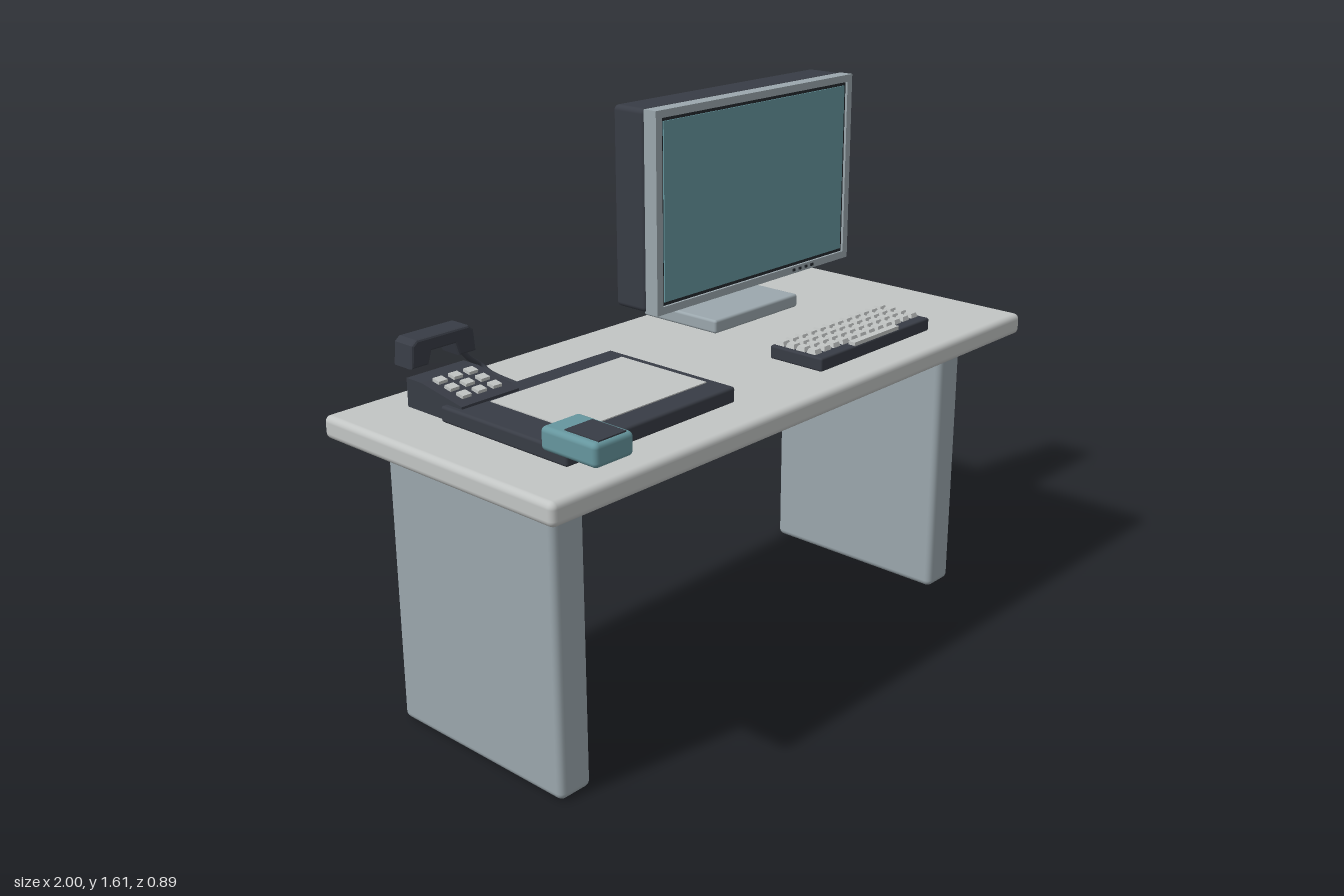
import * as THREE from 'three';
import { RoundedBoxGeometry } from 'three/addons/geometries/RoundedBoxGeometry.js';

const mat = (name, color) => {
  const m = new THREE.MeshStandardMaterial({ color });
  m.name = name;
  return m;
};

export function createModel() {
  const light = mat('light grey', 0xc2c5c4);
  const steel = mat('blue grey', 0x9ba7ad);
  const dark = mat('charcoal', 0x383c45);
  const black = mat('near black', 0x24282e);
  const teal = mat('teal', 0x66969e);

  const model = new THREE.Group();
  model.name = 'officeDesk';
  const group = (name) => {
    const g = new THREE.Group();
    g.name = name;
    model.add(g);
    return g;
  };
  const add = (parent, name, geometry, material) => {
    const mesh = new THREE.Mesh(geometry, material);
    mesh.name = name;
    parent.add(mesh);
    return mesh;
  };
  // Box given by its limits on each axis; r > 0 rounds the edges
  const box = (parent, name, material, [x0, x1], [y0, y1], [z0, z1], r = 0) => {
    const s = [x1 - x0, y1 - y0, z1 - z0];
    const geo = r ? new RoundedBoxGeometry(...s, 3, r) : new THREE.BoxGeometry(...s);
    const mesh = add(parent, name, geo, material);
    mesh.position.set((x0 + x1) / 2, (y0 + y1) / 2, (z0 + z1) / 2);
    return mesh;
  };
  const cable = (parent, name, points, r = 0.007) => {
    const curve = new THREE.CatmullRomCurve3(points.map((p) => new THREE.Vector3(...p)));
    return add(parent, name, new THREE.TubeGeometry(curve, 24, r, 8), dark);
  };
  const rect = (path, x0, x1, y0, y1) =>
    path.moveTo(x0, y0).lineTo(x1, y0).lineTo(x1, y1).lineTo(x0, y1).closePath();

  // Desk
  const desk = group('desk');
  box(desk, 'tabletop', light, [-1, 1], [0.845, 0.91], [-0.425, 0.445], 0.018);
  for (const [name, x] of [['rightLeg', -0.825], ['leftLeg', 0.82]])
    box(desk, name, steel, [x - 0.055, x + 0.055], [0, 0.848], [-0.325, 0.312], 0.02);
  box(desk, 'underDeskUnit', dark, [0.1, 0.695], [0.745, 0.846], [-0.4, -0.18]);
  cable(desk, 'underDeskPlug', [[0.465, 0.75, -0.37], [0.475, 0.735, -0.37], [0.487, 0.722, -0.37]], 0.008);

  // Monitor housing and bezel
  const monitor = group('monitor');
  box(monitor, 'housing', dark, [-0.05, 0.845], [1.022, 1.612], [-0.29, -0.168], 0.015);
  const frame = new THREE.Shape();
  rect(frame, -0.05, 0.845, 1.022, 1.612);
  const hole = new THREE.Path();
  rect(hole, -0.025, 0.822, 1.045, 1.59);
  frame.holes.push(hole);
  const bezel = add(monitor, 'bezel', new THREE.ExtrudeGeometry(frame, { depth: 0.046, bevelEnabled: false }), steel);
  bezel.position.z = -0.168;
  box(monitor, 'screenSurround', black, [-0.03, 0.827], [1.04, 1.595], [-0.138, -0.13]);
  box(monitor, 'screen', teal, [-0.014, 0.812], [1.056, 1.579], [-0.131, -0.126]);
  for (let i = 0; i < 4; i++) {
    const x = 0.57 + i * 0.03;
    box(monitor, 'controlButton', black, [x - 0.006, x + 0.006], [1.03, 1.038], [-0.123, -0.118]);
  }

  // Rear panel with vents, screws and sockets
  box(monitor, 'rearPanel', light, [0.056, 0.744], [1.085, 1.515], [-0.312, -0.286], 0.006);
  for (let i = 0; i < 12; i++) {
    const x = 0.16 + i * 0.0436;
    box(monitor, 'ventSlot', black, [x - 0.013, x + 0.013], [1.43, 1.475], [-0.315, -0.31]);
  }
  for (const x of [0.09, 0.71]) for (const y of [1.13, 1.46]) {
    const screw = add(monitor, 'screw', new THREE.CylinderGeometry(0.01, 0.01, 0.008, 12), dark);
    screw.rotation.x = Math.PI / 2;
    screw.position.set(x, y, -0.314);
  }
  for (const x of [0.265, 0.535]) {
    box(monitor, 'socketBar', dark, [x - 0.07, x + 0.07], [1.155, 1.215], [-0.33, -0.31]);
    for (let i = -1; i <= 1; i++)
      box(monitor, 'socket', black, [x + i * 0.04 - 0.012, x + i * 0.04 + 0.012], [1.17, 1.195], [-0.334, -0.328]);
  }

  // Stand: stepped mount, hinge, column and foot
  const stand = group('monitorStand');
  box(stand, 'mountPlate', steel, [0.29, 0.51], [1.19, 1.42], [-0.347, -0.31], 0.005);
  box(stand, 'mountBlock', steel, [0.345, 0.455], [1.2, 1.355], [-0.384, -0.34], 0.005);
  const hinge = add(stand, 'hinge', new THREE.CylinderGeometry(0.043, 0.043, 0.16, 28), dark);
  const hingeCap = add(stand, 'hingeCap', new THREE.CylinderGeometry(0.03, 0.03, 0.168, 28), steel);
  for (const part of [hinge, hingeCap]) {
    part.rotation.z = Math.PI / 2;
    part.position.set(0.4, 1.24, -0.385);
  }
  box(stand, 'column', steel, [0.36, 0.44], [0.94, 1.22], [-0.415, -0.355], 0.006);
  box(stand, 'foot', steel, [0.2, 0.59], [0.91, 0.952], [-0.418, -0.12], 0.008);
  for (const y of [1.02, 1.125])
    box(stand, 'cableClip', dark, [0.35, 0.45], [y - 0.009, y + 0.009], [-0.448, -0.408]);
  for (const s of [-1, 1]) {
    cable(stand, 'monitorCable', [
      [0.4 + s * 0.1, 1.18, -0.325], [0.4 + s * 0.085, 1.14, -0.37], [0.4 + s * 0.065, 1.09, -0.415],
      [0.4 + s * 0.055, 1.0, -0.42], [0.4 + s * 0.04, 0.96, -0.415]]);
    cable(stand, 'loopCable', [
      [0.4 + s * 0.07, 1.16, -0.325], [0.4 + s * 0.075, 1.07, -0.31], [0.4 + s * 0.055, 0.99, -0.325],
      [0.4 + s * 0.03, 0.97, -0.36]]);
  }

  // Keyboard
  const keyboard = group('keyboard');
  box(keyboard, 'keyboardBase', dark, [0.135, 0.66], [0.91, 0.95], [0.145, 0.332], 0.006);
  for (let row = 0; row < 4; row++) for (let col = 0; col < 12; col++) {
    const x = 0.165 + col * 0.0424, z = 0.168 + row * 0.038;
    const key = add(keyboard, 'key', new THREE.CylinderGeometry(0.017, 0.023, 0.014, 4, 1).rotateY(Math.PI / 4), light);
    key.geometry = key.geometry.toNonIndexed();
    key.geometry.computeVertexNormals();
    key.position.set(x, 0.956, z);
  }
  box(keyboard, 'spaceBar', light, [0.29, 0.505], [0.948, 0.96], [0.308, 0.33]);

  // Drawing tablet
  const tablet = group('drawingTablet');
  box(tablet, 'tabletBase', dark, [-0.827, -0.21], [0.91, 0.955], [-0.155, 0.312], 0.008);
  box(tablet, 'tabletSurface', light, [-0.722, -0.24], [0.953, 0.958], [-0.08, 0.236]);

  // Telephone: wedge body, keypad, raised handset and cord
  const phone = group('telephone');
  const side = new THREE.Shape([[0.09, 0.91], [0.31, 0.91], [0.31, 0.99], [0.25, 0.99], [0.09, 0.962]]
    .map((p) => new THREE.Vector2(...p)));
  const body = add(phone, 'phoneBody', new THREE.ExtrudeGeometry(side, { depth: 0.195, bevelEnabled: false }), dark);
  body.rotation.y = Math.PI / 2;
  body.position.x = -0.81;
  for (let row = 0; row < 3; row++) for (let col = 0; col < 3; col++) {
    const x = -0.764 + col * 0.052, z = -0.135 - row * 0.047;
    const y = 0.962 + (-z - 0.09) * 0.175;
    const b = box(phone, 'phoneButton', light, [x - 0.015, x + 0.015], [y - 0.006, y + 0.009], [z - 0.013, z + 0.013]);
    b.rotation.x = 0.17;
  }
  const arch = new THREE.Shape([[-0.82, 1.022], [-0.762, 1.022], [-0.75, 1.058], [-0.67, 1.058], [-0.658, 1.022],
    [-0.6, 1.022], [-0.606, 1.085], [-0.622, 1.098], [-0.798, 1.098], [-0.814, 1.085]]
    .map((p) => new THREE.Vector2(...p)));
  const handset = add(phone, 'handset', new THREE.ExtrudeGeometry(arch,
    { depth: 0.06, bevelSize: 0.006, bevelThickness: 0.008, bevelOffset: -0.006, bevelSegments: 2 }), dark);
  handset.position.z = -0.34;
  cable(phone, 'handsetCord', [[-0.625, 1.025, -0.31], [-0.6, 0.995, -0.31], [-0.555, 0.96, -0.308],
    [-0.55, 0.945, -0.28], [-0.55, 0.935, -0.15]], 0.008);

  // Small pointing device resting on the tablet corner
  const puck = group('pointingDevice');
  box(puck, 'puckBody', teal, [-0.835, -0.703], [0.936, 1.0], [0.227, 0.42], 0.014);
  box(puck, 'puckPad', dark, [-0.815, -0.722], [0.996, 1.003], [0.295, 0.41]);

  return model;
}
